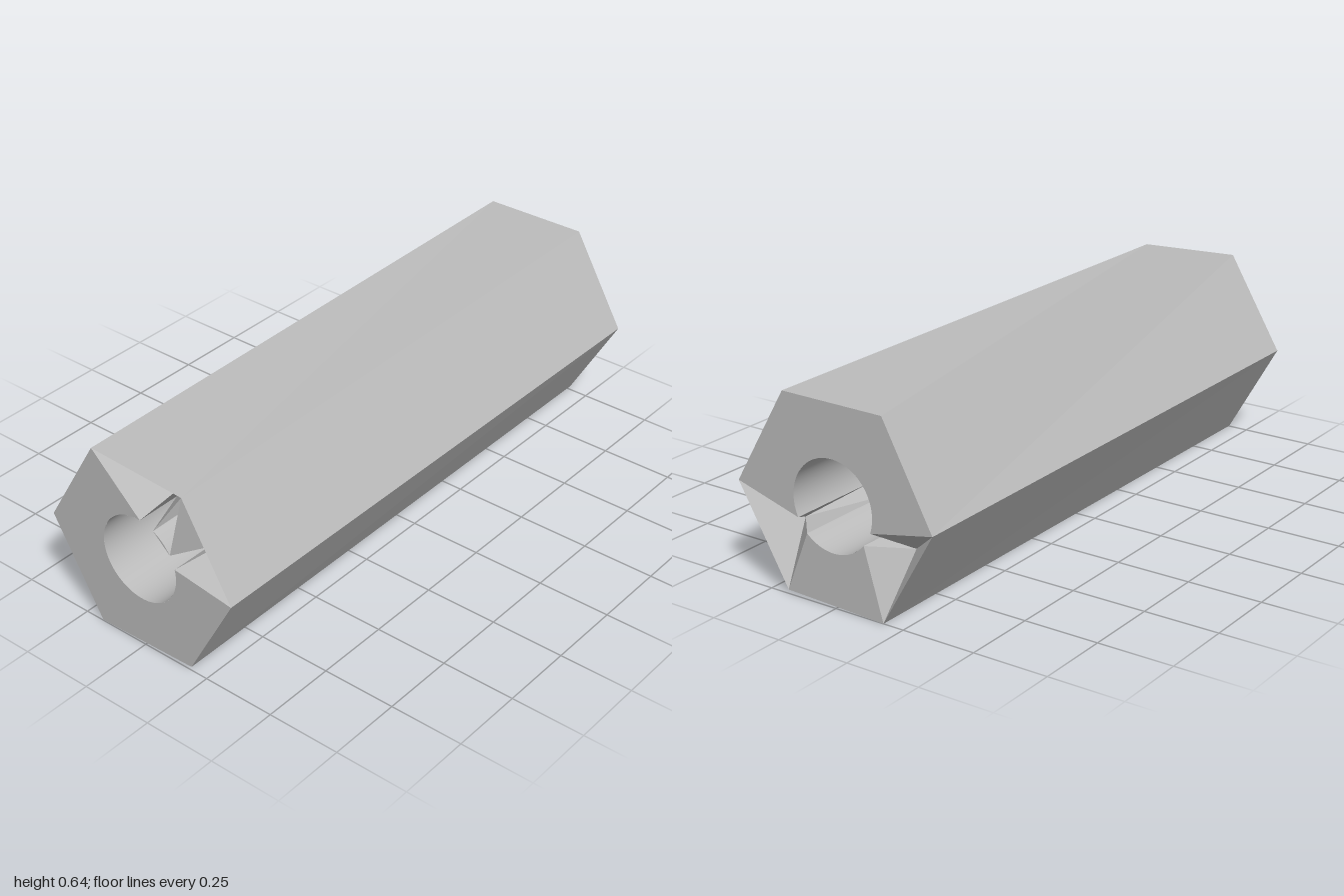
import * as THREE from 'three';

const R = 0.147, CY = 0.322, BOTTOM = 0.4, TIP = 0.09;
const rad = THREE.MathUtils.degToRad;

// Each end is described facing +z; the back one is turned round afterwards.
// A notch lies between corner k and k + 1 and meets the bore from angle p to q.
const FRONT = {
  corners: [[0.362, 0.323], [0.187, 0.627], [-0.17, 0.643], [-0.362, 0.323], [-0.18, 0.002], [0.19, 0.013]],
  notches: [
    { k: 0, p: 12, q: 30, deep: [0.22, 0.412, 0.88] },
    { k: 1, p: 64, q: 85, deep: [0.07, 0.55, 0.86] },
  ],
};
const BACK = {
  corners: [[0.362, 0.317], [0.19, 0.639], [-0.175, 0.641], [-0.362, 0.323], [-0.182, 0.013], [0.178, 0]],
  notches: [
    { k: 3, p: 206, q: 227, deep: [-0.21, 0.2, 0.88] },
    { k: 5, p: 320, q: 340, deep: [0.21, 0.2, 0.88] },
  ],
};
const SLOT = 0.65; // z where the slots in the bore wall stop

export function createModel() {
  const steel = new THREE.MeshStandardMaterial({ color: 0xbcbcbc, side: THREE.DoubleSide });
  steel.name = 'steelGrey';
  const model = new THREE.Group();
  model.name = 'hexStandoff';

  const add = (parent, name, geometry) => {
    const mesh = new THREE.Mesh(geometry, steel);
    mesh.name = name;
    parent.add(mesh);
  };

  // Flat-shaded triangles from a list of corner points
  const facets = (points) => {
    const g = new THREE.BufferGeometry();
    g.setAttribute('position', new THREE.Float32BufferAttribute(points.flat(), 3));
    g.computeVertexNormals();
    return g;
  };

  // Inward-facing surface of revolution around the bore axis
  const bore = (profile, from, to) => {
    const segments = Math.max(3, Math.round((to - from) / 6));
    const g = new THREE.LatheGeometry(profile.map(([r, z]) => new THREE.Vector2(r, z)),
      segments, rad(from + 90), rad(to - from));
    return g.rotateX(Math.PI / 2).translate(0, CY, 0);
  };

  const buildEnd = (name, { corners, notches }) => {
    const end = new THREE.Group();
    end.name = name;
    const corner = (i) => [...corners[i % 6], 1];
    const rim = (deg, z) => [R * Math.cos(rad(deg)), CY + R * Math.sin(rad(deg)), z];

    notches.forEach((n, i) => {
      const wrap = i === notches.length - 1;
      const next = notches[(i + 1) % notches.length];
      const lastCorner = next.k + (wrap ? 6 : 0);
      const arcEnd = next.p + (wrap ? 360 : 0);

      // Flat end face from this notch round to the next
      const shape = new THREE.Shape();
      for (let c = n.k + 1; c <= lastCorner; c++) {
        const [x, y] = corner(c);
        if (c === n.k + 1) shape.moveTo(x, y);
        else shape.lineTo(x, y);
      }
      shape.absarc(0, CY, R, rad(arcEnd), rad(n.q), true);
      add(end, 'endFace', new THREE.ShapeGeometry(shape, 48).translate(0, 0, 1));

      // Broken-out notch
      const P = corner(n.k), Q = corner(n.k + 1), C = n.deep;
      const p = rim(n.p, 1), q = rim(n.q, 1), p2 = rim(n.p, SLOT), q2 = rim(n.q, SLOT);
      add(end, 'notch', facets([P, Q, C, Q, q, C, P, C, p, C, q2, p2, C, q, q2, p, C, p2]));

      // Bore wall: full length beside the notch, shortened behind it
      add(end, 'boreWall', bore([[R, 1], [R, BOTTOM]], n.q, arcEnd));
      add(end, 'boreWallBehindNotch', bore([[R, SLOT], [R, BOTTOM]], n.p, n.q));
    });

    // Conical bottom of the bore
    add(end, 'boreTip', bore([[R, BOTTOM], [0, BOTTOM - TIP]], 0, 360));
    model.add(end);
    return end;
  };

  buildEnd('frontEnd', FRONT);
  buildEnd('backEnd', BACK).rotation.y = Math.PI;

  // Six long sides joining the two ends
  const sides = [];
  const front = (i) => [...FRONT.corners[i % 6], 1];
  const back = (i) => {
    const [x, y] = BACK.corners[(9 - i) % 6];
    return [-x, y, -1];
  };
  for (let i = 0; i < 6; i++) {
    sides.push(front(i), back(i), back(i + 1), front(i), back(i + 1), front(i + 1));
  }
  add(model, 'hexSides', facets(sides));

  return model;
}
